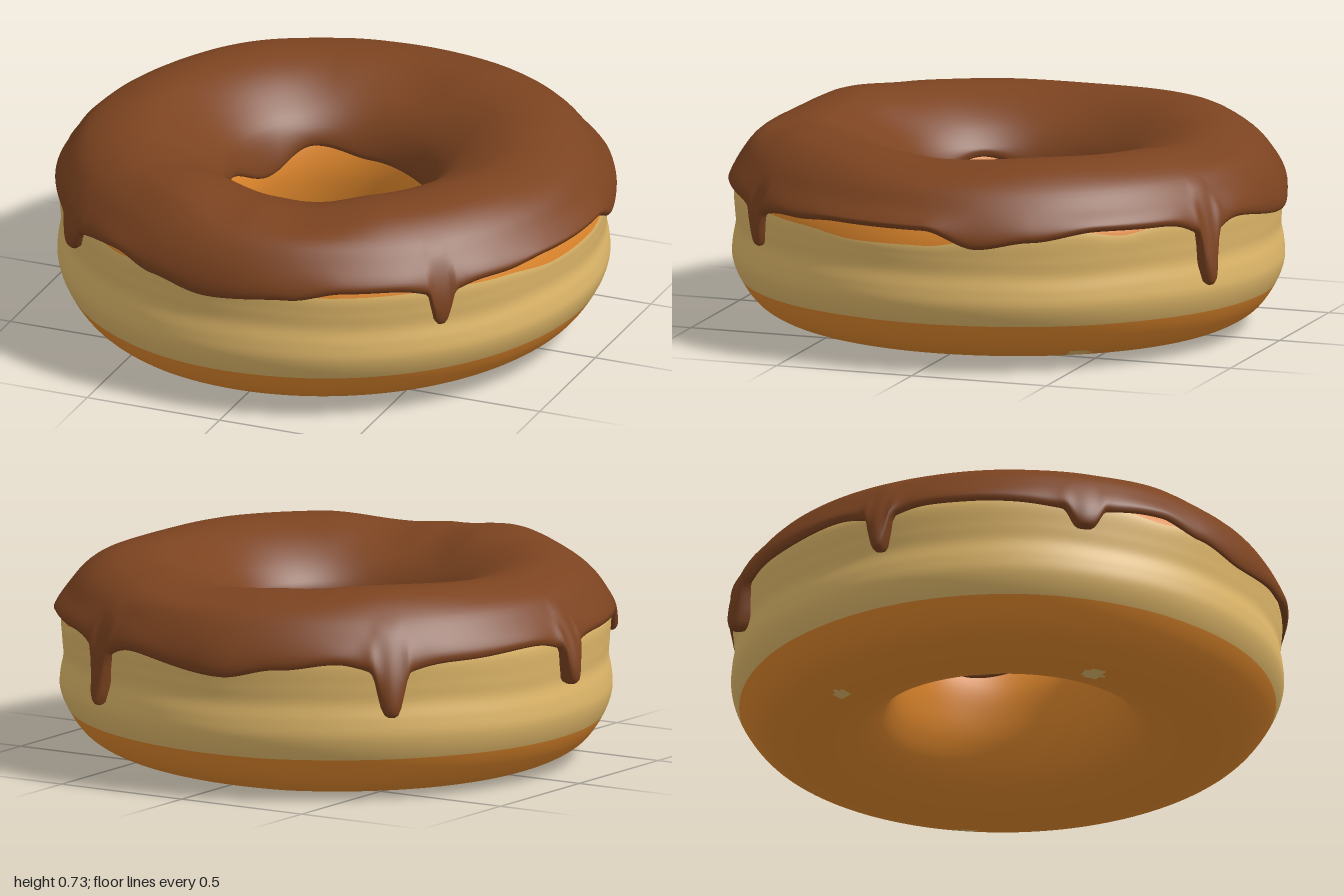
import * as THREE from 'three';

const RAD = Math.PI / 180;

// Smooth periodic interpolation through [degrees, value] keys (sorted, 0 = front, 90 = +x)
function periodic(keys) {
  const start = keys[0][0];
  const all = [...keys, [start + 360, keys[0][1]]];
  return (deg) => {
    const d = start + ((deg - start + 720) % 360);
    const k = all.findIndex(([at]) => at > d);
    const [a, va] = all[k - 1], [b, vb] = all[k];
    return THREE.MathUtils.lerp(va, vb, THREE.MathUtils.smoothstep(d, a, b));
  };
}

// Sweep a changing cross-section round the y axis; pick(x, z, row) gives the material index of a cell
function sweep(segments, steps, closed, section, pick) {
  const pos = [], faces = [[], []];
  const cols = closed ? steps : steps + 1;
  for (let i = 0; i < segments; i++) {
    const deg = (i / segments) * 360 - 180;
    const pts = section(deg).map(([r, y]) => new THREE.Vector3(r, y, 0));
    const curve = new THREE.CatmullRomCurve3(pts, closed);
    for (let j = 0; j < cols; j++) {
      const p = curve.getPoint(j / steps);
      pos.push(p.x * Math.sin(deg * RAD), p.y, p.x * Math.cos(deg * RAD));
    }
  }
  for (let i = 0; i < segments; i++) {
    for (let j = 0; j < steps; j++) {
      const i2 = (i + 1) % segments, j2 = (j + 1) % cols;
      const a = i * cols + j, b = i2 * cols + j, c = i2 * cols + j2, d = i * cols + j2;
      faces[pick(pos[a * 3], pos[a * 3 + 2], j)].push(a, b, c, a, c, d);
    }
  }
  const geo = new THREE.BufferGeometry();
  geo.setAttribute('position', new THREE.Float32BufferAttribute(pos, 3));
  geo.setIndex([...faces[0], ...faces[1]]);
  geo.addGroup(0, faces[0].length, 0);
  geo.addGroup(faces[0].length, faces[1].length, 1);
  geo.computeVertexNormals();
  return geo;
}

// Dough cross-section: outer wall upwards, over the top, down the hole, out along the bottom
const DOUGH = [
  [0.935, 0.165], [0.962, 0.24], [0.96, 0.3], [0.95, 0.36], [0.954, 0.42], [0.955, 0.485],
  [0.92, 0.56], [0.83, 0.63], [0.68, 0.67], [0.55, 0.65], [0.45, 0.585], [0.388, 0.51],
  [0.358, 0.4], [0.365, 0.29], [0.395, 0.18], [0.455, 0.09], [0.55, 0.035], [0.66, 0.011],
  [0.77, 0.026], [0.87, 0.078],
];
const PALE_TOP = 5;                                     // profile point where the pale band ends
const SUB = 7;                                          // rows between profile points
const SPOTS = [[0.64, -0.47, 0.042], [-0.39, 0.53, 0.04], [-0.63, -0.32, 0.028]];

// Height of the upper end of the pale band: it dips where fried crust shows under the icing
const paleTop = periodic([
  [-40, 0.515], [-28, 0.497], [-18, 0.515], [8, 0.505], [22, 0.484], [45, 0.487], [62, 0.48],
  [76, 0.46], [92, 0.463], [104, 0.49], [124, 0.515], [134, 0.492], [144, 0.515],
]);

function doughSection(deg) {
  const t = deg * RAD;
  const ripple = 0.004 * Math.sin(5 * t + 1) + 0.002 * Math.sin(11 * t);
  const tilt = Math.max(0.018 * Math.sin(t), -0.006);
  return DOUGH.map(([r, y], k) => {
    const low = 1 - THREE.MathUtils.smoothstep(y, 0.1, 0.4);
    const side = r > 0.7 ? 0.013 * Math.sin(t) : 0;
    return [r + side, k === PALE_TOP ? paleTop(deg) : y + ripple * (1 - low) + low * tilt];
  });
}

// Pale band on the outer wall plus a few pale spots on the underside
function doughColour(x, z, row) {
  if (row < PALE_TOP * SUB) return 1;
  const under = row >= 16 * SUB;
  return under && SPOTS.some(([sx, sz, s]) => Math.hypot(x - sx, z - sz) < s) ? 1 : 0;
}

// Icing: outer hem, crest and inner hem heights, and drips [degrees, depth, half width, bulge]
const hem = periodic([
  [-172, 0.445], [-160, 0.48], [-145, 0.51], [-120, 0.5], [-100, 0.515], [-70, 0.51], [-50, 0.5],
  [-28, 0.515], [-18, 0.48], [-5, 0.45], [14, 0.475], [25, 0.505], [40, 0.505], [60, 0.505],
  [72, 0.52], [92, 0.52], [103, 0.46], [114, 0.485], [128, 0.515], [142, 0.51], [160, 0.5],
]);
const crest = periodic([
  [-160, 0.715], [-135, 0.728], [-90, 0.71], [-60, 0.717], [-42, 0.722], [-22, 0.736], [0, 0.71],
  [14, 0.698], [38, 0.724], [60, 0.724], [90, 0.71], [120, 0.722], [150, 0.716], [172, 0.7],
]);
const innerHem = periodic([
  [-148, 0.48], [-118, 0.4], [-85, 0.465], [-55, 0.51], [-19, 0.445], [0, 0.43], [15, 0.455],
  [51, 0.49], [82, 0.51], [140, 0.425], [180, 0.44],
]);
const DRIPS = [
  [46, 0.145, 2.2, 0.01], [-46, 0.09, 3.4, 0.028], [-90, 0.16, 2.3, 0.048],
  [-136, 0.19, 3, 0.05], [155, 0.225, 2.2, 0.026], [-172, 0.0, 5, 0.012],
];

function icingSection(deg) {
  const t = deg * RAD;
  const side = 0.013 * Math.sin(t);
  let edge = hem(deg), bulge = 0.015 * Math.max(0, Math.sin(t));
  for (const [at, depth, width, out] of DRIPS) {
    const d = Math.abs(((deg - at + 540) % 360) - 180) / width;
    edge -= depth * (0.78 * Math.exp(-(d ** 4)) + 0.22 * Math.exp(-((d / 2.6) ** 2)));
    bulge += out * Math.exp(-((d / 1.3) ** 2));
  }
  const wall = 0.953 + side - 0.01 * Math.exp(-(((edge - 0.36) / 0.06) ** 2));
  const top = crest(deg);
  const inner = innerHem(deg);
  const lip = 0.35 + 0.3 * Math.max(0, inner - 0.42);
  return [
    [wall - 0.025, edge + 0.022], [wall + 0.01 + bulge * 0.6, edge],
    [wall + 0.018 + bulge, edge + 0.017], [0.966 + side + bulge * 0.8, (edge + 0.58) / 2],
    [0.936 + side + bulge * 0.15, 0.59], [0.88 + side, 0.657], [0.79 + side, top - 0.014],
    [0.67, top], [0.55, top - 0.034], [0.44, 0.617], [0.376, 0.545],
    [lip - 0.007, inner + 0.02], [lip, inner], [lip + 0.035, inner + 0.012],
  ];
}

export function createModel() {
  const material = (name, color) => {
    const m = new THREE.MeshStandardMaterial({ color });
    m.name = name;
    return m;
  };
  const fried = material('fried crust', 0xe2892d);
  const pale = material('pale dough', 0xe0b86a);
  const chocolate = material('chocolate icing', 0x7c4320);

  const group = new THREE.Group();
  group.name = 'ringDoughnut';

  const dough = new THREE.Mesh(
    sweep(240, DOUGH.length * SUB, true, doughSection, doughColour), [fried, pale]);
  dough.name = 'dough';

  const icing = new THREE.Mesh(sweep(540, 52, false, icingSection, () => 0), chocolate);
  icing.geometry.clearGroups();
  icing.name = 'icing';

  group.add(dough, icing);
  return group;
}
